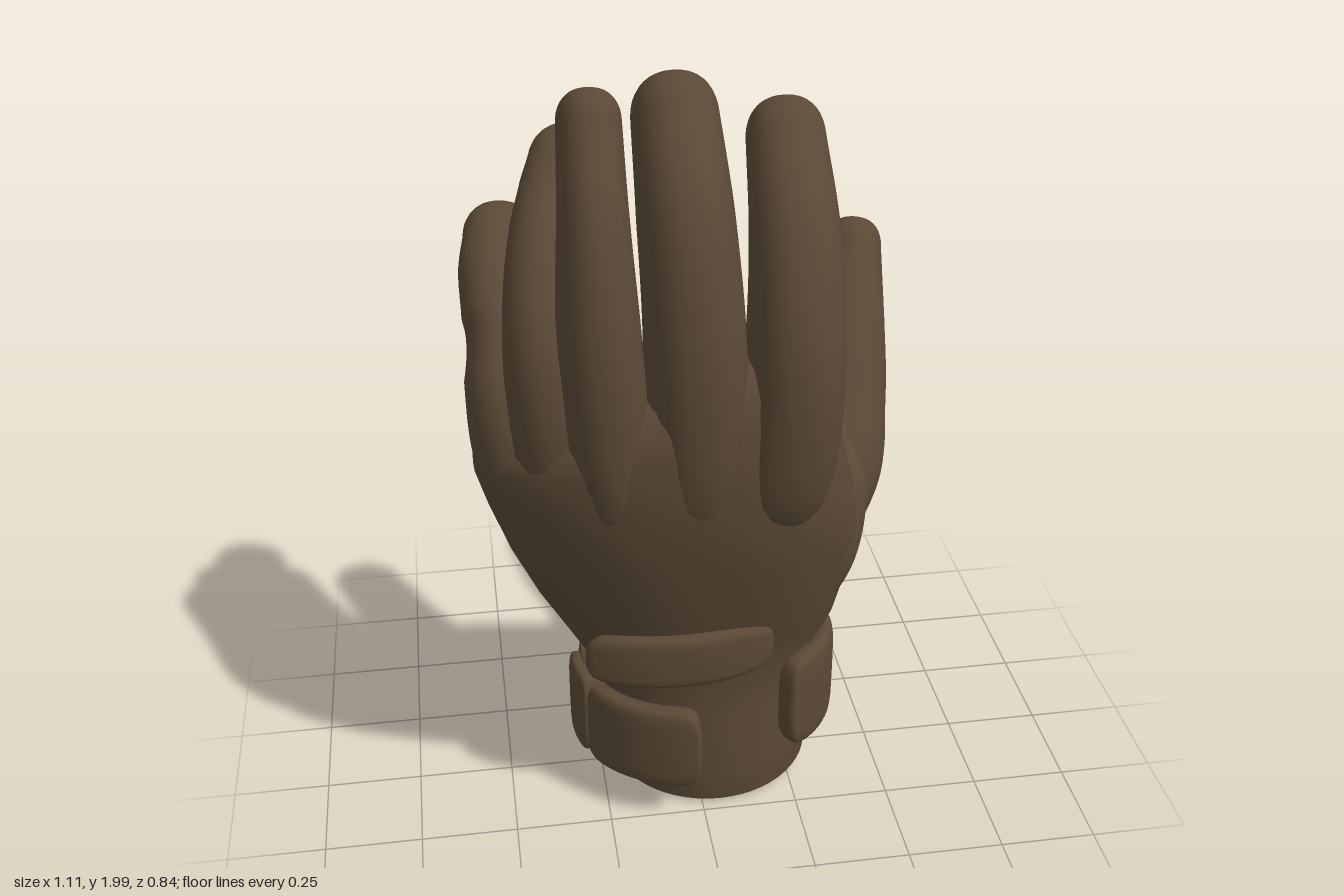
import * as THREE from 'three';

const V = (x, y, z) => new THREE.Vector3(x, y, z);
const TAU = Math.PI * 2;
// Signed power, used for squarish (superellipse) sections
const sp = (v, e) => Math.sign(v) * Math.abs(v) ** e;

// Skin a list of closed rings, fanning both ends shut
function loft(rings) {
  const n = rings[0].length, pos = [], idx = [];
  rings.forEach(r => r.forEach(p => pos.push(p.x, p.y, p.z)));
  for (let i = 0; i < rings.length - 1; i++) {
    for (let j = 0; j < n; j++) {
      const a = i * n + j, b = i * n + (j + 1) % n;
      idx.push(a, b, a + n, b, b + n, a + n);
    }
  }
  [0, rings.length - 1].forEach(i => {
    const c = V(0, 0, 0);
    rings[i].forEach(p => c.addScaledVector(p, 1 / n));
    const k = pos.length / 3;
    pos.push(c.x, c.y, c.z);
    for (let j = 0; j < n; j++) {
      const a = i * n + j, b = i * n + (j + 1) % n;
      if (i === 0) idx.push(k, b, a); else idx.push(k, a, b);
    }
  });
  const g = new THREE.BufferGeometry();
  g.setAttribute('position', new THREE.Float32BufferAttribute(pos, 3));
  g.setIndex(idx);
  g.computeVertexNormals();
  return g;
}

// Blunt-tipped limb through stations [x, y, z, half width, half depth]
function limb(stations, side = V(1, 0, 0)) {
  const path = new THREE.CatmullRomCurve3(stations.map(s => V(s[0], s[1], s[2])));
  const size = new THREE.CatmullRomCurve3(stations.map(s => V(s[3], s[4], 0)));
  const rings = [], steps = 36, capSteps = 10, n = 28;
  const ring = (c, t, rx, rz) => {
    const s = side.clone().addScaledVector(t, -side.dot(t)).normalize();
    const d = s.clone().cross(t);
    rings.push(Array.from({ length: n }, (_, j) => {
      const a = j / n * TAU;
      return c.clone().addScaledVector(s, sp(Math.sin(a), 0.92) * rx).addScaledVector(d, sp(Math.cos(a), 0.92) * rz);
    }));
  };
  for (let i = 0; i <= steps; i++) {
    const u = i / steps, r = size.getPoint(u);
    ring(path.getPoint(u), path.getTangent(u), r.x, r.y);
  }
  const end = path.getPoint(1), t = path.getTangent(1), r = size.getPoint(1);
  for (let i = 1; i <= capSteps; i++) {
    const a = i / capSteps * 1.55, f = Math.cos(a) ** 0.8;
    ring(end.clone().addScaledVector(t, Math.sin(a) * r.x), t, f * r.x, f * r.y);
  }
  return loft(rings);
}

// Rounded plate wrapped on an ellipse from angle a0 to a1 (0 = front, + towards +x)
function wrap(a0, a1, y, halfH, thick, tilt, [cx, cz, rx, rz], corner = 8) {
  const rings = [], steps = 48, n = 24;
  for (let i = 0; i <= steps; i++) {
    const w = -Math.cos(i / steps * Math.PI) * 0.998, a = (a0 + a1) / 2 + w * (a1 - a0) / 2;
    const f = (1 - Math.abs(w) ** corner) ** 0.4;
    rings.push(Array.from({ length: n }, (_, j) => {
      const b = j / n * TAU;
      const off = -thick * sp(Math.cos(b), 0.5) * Math.min(1, f + 0.25);
      return V(cx + (rx + off) * Math.sin(a),
        y + tilt * w + halfH * f * sp(Math.sin(b), 0.4),
        cz + (rz + off) * Math.cos(a));
    }));
  }
  return loft(rings);
}

// Hand body, lofted from the inside of the cuff out and up to the knuckles:
// [y, xMin, xMax, zBack, zPalm, slope in x, slope in z, arch]
function handBody() {
  const S = [
    [0.30, -0.15, 0.25, 0.16, -0.17, 0, 0, 0],
    [0.05, -0.20, 0.30, 0.20, -0.22, 0, -0.17, 0],
    [0.04, -0.21, 0.31, 0.21, -0.23, 0, -0.17, 0],
    [0.05, -0.22, 0.32, 0.22, -0.24, 0, -0.17, 0],
    [0.13, -0.23, 0.32, 0.225, -0.235, 0, -0.1, 0],
    [0.30, -0.25, 0.33, 0.22, -0.22, 0, 0, 0],
    [0.42, -0.29, 0.345, 0.22, -0.20, 0, 0, 0],
    [0.52, -0.34, 0.38, 0.25, -0.20, 0, 0, 0],
    [0.65, -0.41, 0.405, 0.29, -0.21, 0, 0, 0.01],
    [0.80, -0.475, 0.42, 0.335, -0.20, 0, 0, 0.03],
    [0.95, -0.52, 0.39, 0.375, -0.13, 0, 0, 0.05],
    [1.10, -0.545, 0.335, 0.395, -0.02, 0.1, 0, 0.09],
    [1.20, -0.545, 0.315, 0.40, 0.05, 0.2, 0, 0.11],
    [1.28, -0.535, 0.30, 0.395, 0.10, 0.3, 0, 0.12],
    [1.34, -0.48, 0.27, 0.365, 0.14, 0.35, 0, 0.12],
    [1.37, -0.25, 0.13, 0.30, 0.20, 0.35, 0, 0.08],
  ];
  const n = 56;
  return loft(S.map(([y, x0, x1, zb, zp, kx, kz, arch], i) =>
    Array.from({ length: n }, (_, j) => {
      const a = j / n * TAU, e = i < 7 ? 1 : Math.max(0.76, 1 - (i - 6) * 0.06);
      const u = sp(Math.sin(a), e), x = (x0 + x1) / 2 + (x1 - x0) / 2 * u;
      const z = (zb + zp) / 2 + (zb - zp) / 2 * sp(Math.cos(a), e);
      return V(x, y + kx * x + kz * z, z - arch * (u < 0 ? 1 : 0.4) * u * u);
    })));
}

export function createModel() {
  const group = new THREE.Group();
  const leather = new THREE.MeshStandardMaterial({ color: 0x5b4936 });
  leather.name = 'brown leather';
  const add = (name, geometry) => {
    const m = new THREE.Mesh(geometry, leather);
    m.name = name;
    group.add(m);
    return m;
  };

  add('handBody', handBody());

  // Digits, each rooted deep inside the hand
  const fingers = {
    indexFinger: [[0.12, 0.8, 0.16, 0.07, 0.07], [0.175, 1.05, 0.255, 0.125, 0.13], [0.195, 1.25, 0.275, 0.122, 0.14],
      [0.20, 1.45, 0.275, 0.11, 0.127], [0.205, 1.65, 0.21, 0.102, 0.114], [0.205, 1.825, 0.085, 0.09, 0.09]],
    middleFinger: [[-0.03, 0.8, 0.16, 0.07, 0.07], [-0.03, 1.05, 0.26, 0.115, 0.13], [-0.03, 1.25, 0.285, 0.12, 0.135],
      [-0.035, 1.48, 0.285, 0.115, 0.13], [-0.045, 1.71, 0.225, 0.108, 0.135], [-0.05, 1.89, 0.105, 0.098, 0.115]],
    ringFinger: [[-0.18, 0.8, 0.16, 0.06, 0.07], [-0.225, 1.05, 0.26, 0.09, 0.12], [-0.24, 1.25, 0.285, 0.10, 0.125],
      [-0.25, 1.48, 0.285, 0.095, 0.125], [-0.25, 1.71, 0.24, 0.08, 0.12], [-0.245, 1.905, 0.15, 0.072, 0.1]],
    bentFinger: [[-0.28, 0.8, 0.11, 0.06, 0.07], [-0.345, 1.05, 0.2, 0.10, 0.11], [-0.36, 1.25, 0.225, 0.10, 0.12],
      [-0.36, 1.43, 0.2, 0.10, 0.115], [-0.33, 1.58, 0.08, 0.105, 0.115], [-0.285, 1.65, -0.06, 0.112, 0.105],
      [-0.265, 1.695, -0.165, 0.1, 0.088]],
    littleFinger: [[-0.34, 0.72, 0.03, 0.05, 0.07], [-0.42, 0.95, 0.11, 0.09, 0.11], [-0.447, 1.13, 0.15, 0.10, 0.12],
      [-0.455, 1.28, 0.12, 0.097, 0.115], [-0.45, 1.39, 0.02, 0.097, 0.115], [-0.445, 1.455, -0.09, 0.102, 0.105],
      [-0.44, 1.51, -0.175, 0.09, 0.082]],
  };
  for (const [name, stations] of Object.entries(fingers)) add(name, limb(stations));
  add('thumb', limb([[0.12, 0.42, -0.02, 0.10, 0.10], [0.25, 0.66, -0.04, 0.155, 0.155], [0.37, 0.87, -0.08, 0.15, 0.175],
    [0.425, 1.03, -0.15, 0.115, 0.155], [0.45, 1.2, -0.24, 0.10, 0.135], [0.48, 1.365, -0.33, 0.075, 0.095]],
    V(0.92, 0.38, 0)));
  // Fleshy web filling the crook between thumb and hand
  add('thumbWeb', limb([[0.2, 0.5, 0.05, 0.09, 0.1], [0.3, 0.72, 0.06, 0.125, 0.15],
    [0.345, 0.88, 0.03, 0.105, 0.14], [0.345, 0.98, -0.01, 0.07, 0.1]]));

  // Raised padding and folds on the palm
  const heel = add('palmHeelPad', new THREE.SphereGeometry(1, 32, 20));
  heel.scale.set(0.29, 0.21, 0.065);
  heel.position.set(-0.14, 0.68, -0.17);
  heel.rotation.set(0.08, 0.15, -0.6);
  const folds = [
    [[0.26, 1.24, 0.2], [0.1, 1.22, 0.12], [-0.12, 1.13, 0.065], [-0.28, 1.06, 0.06], [-0.36, 1.03, 0.15]],
    [[0.26, 1.07, 0.12], [0.1, 1.07, 0.03], [-0.12, 0.98, -0.02], [-0.28, 0.92, -0.02], [-0.36, 0.9, 0.07]],
  ];
  folds.forEach(f => add('palmFold', limb(f.map(p => [...p, 0.085, 0.062]), V(0, 1, 0))));

  // Back pad and wrist closure
  const wrist = [0.035, 0, 0.315, 0.255];
  add('backPad', wrap(-0.79, 0.53, 0.53, 0.078, 0.045, 0.015, [-0.02, 0, 0.37, 0.26], 5));
  add('wristStrap', wrap(0.9, 5.15, 0.28, 0.12, 0.025, -0.02, wrist, 20));
  add('strapEndPatch', wrap(-1.25, -0.14, 0.24, 0.122, 0.03, 0.005, [0.035, 0.01, 0.325, 0.27], 12));
  add('strapSideKeeper', wrap(-1.75, -1.15, 0.25, 0.125, 0.025, 0, [0.035, 0.01, 0.34, 0.265], 8));
  add('thumbSidePatch', wrap(0.6, 1.9, 0.295, 0.142, 0.03, -0.005, [0.035, 0, 0.325, 0.255], 12));

  // Loose pull tab
  const w = 0.12, h = 0.105, r = 0.06, tab = new THREE.Shape();
  tab.absarc(w - r, h - r, r, 0, Math.PI / 2);
  tab.absarc(r - w, h - r, r, Math.PI / 2, Math.PI);
  tab.absarc(r - w, r - h, r, Math.PI, Math.PI * 1.5);
  tab.absarc(w - r, r - h, r, Math.PI * 1.5, TAU);
  const pull = add('pullTab', new THREE.ExtrudeGeometry(tab, {
    depth: 0.012, bevelSize: 0.012, bevelThickness: 0.008, bevelSegments: 3, curveSegments: 8,
  }));
  pull.position.set(0.255, 0.305, -0.225);
  pull.rotation.y = 2.23;
  return group;
}
